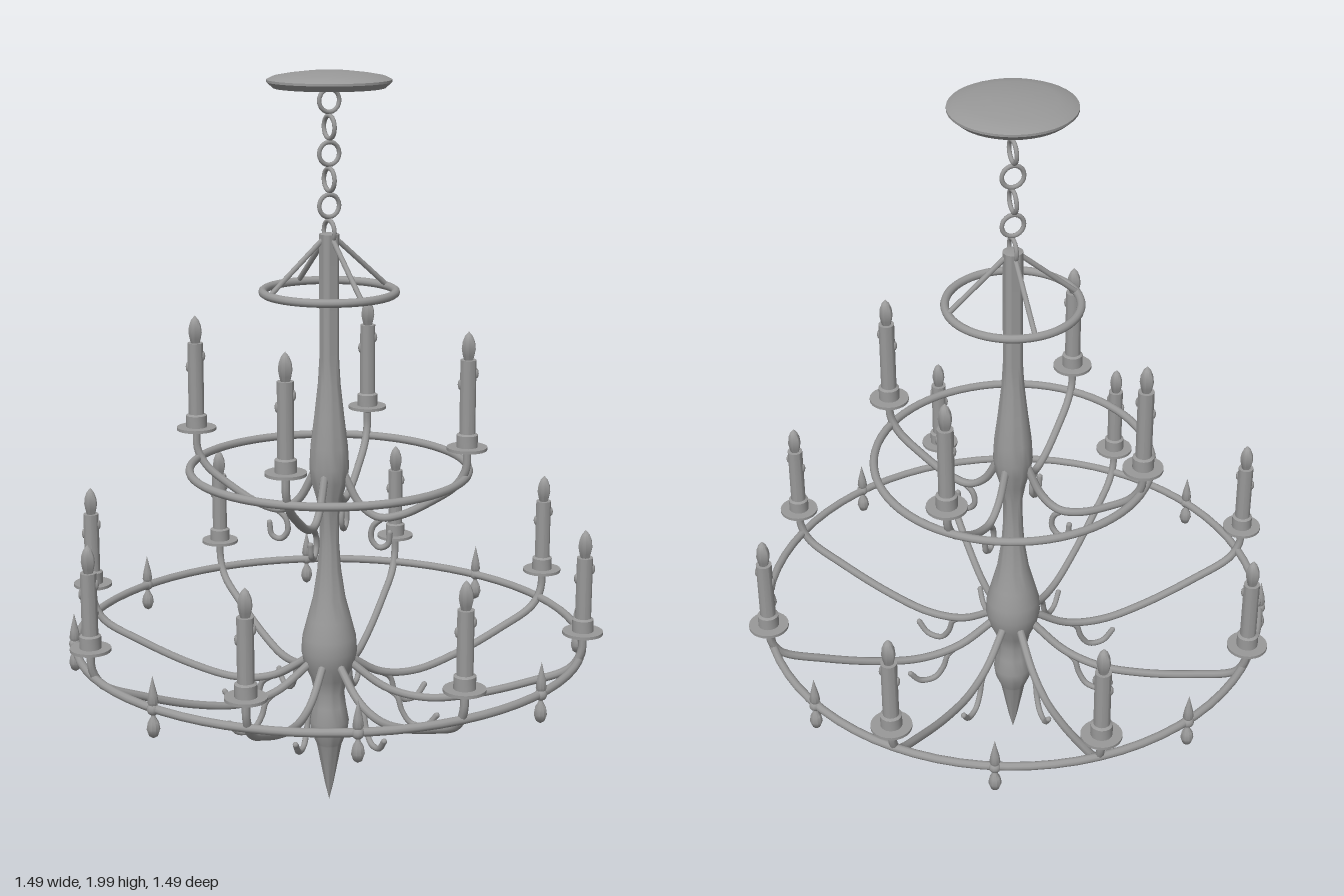
import * as THREE from 'three';
import { toCreasedNormals } from 'three/addons/utils/BufferGeometryUtils.js';

const metal = new THREE.MeshStandardMaterial({ color: 0x999999 });
metal.name = 'pewter grey';

function mesh(name, geometry, parent) {
  const m = new THREE.Mesh(geometry, metal);
  m.name = name;
  parent.add(m);
  return m;
}

// Turned shape from [radius, y] points, listed from the bottom up
function turned(points, sides = 24, crease = 0.6) {
  const p = points.map(([r, y]) => new THREE.Vector2(r, y));
  return toCreasedNormals(new THREE.LatheGeometry(p, sides), crease);
}

// Bent rod lying in the x-y plane
function rod(points, radius, steps = 40) {
  const curve = new THREE.CatmullRomCurve3(points.map(([x, y]) => new THREE.Vector3(x, y, 0)));
  return new THREE.TubeGeometry(curve, steps, radius, 8, false);
}

function hoop(name, radius, y, tube, parent) {
  const h = mesh(name, new THREE.TorusGeometry(radius, tube, 10, 72), parent);
  h.rotation.x = Math.PI / 2;
  h.position.y = y;
}

// Drip dish, collar, candle sleeve and flame bulb; origin at the dish
function makeCandle(height) {
  const g = new THREE.Group();
  g.name = 'candle';
  mesh('dripDish', turned([[0, -0.012], [0.022, -0.012], [0.053, -0.004], [0.053, 0.004], [0, 0.004]]), g);
  mesh('collar', turned([[0.028, 0.003], [0.028, 0.036], [0.021, 0.04]], 16), g);
  mesh('sleeve', turned([[0.021, 0.03], [0.021, height], [0, height]], 16), g);
  mesh('bulb', turned([
    [0.012, height], [0.015, height + 0.012], [0.018, height + 0.028],
    [0.016, height + 0.046], [0.01, height + 0.062], [0, height + 0.074],
  ], 12, 1.2), g);
  // wax drips
  [[0.6, 0.85], [3.6, 0.72]].forEach(([a, f]) => {
    const d = mesh('waxDrip', new THREE.SphereGeometry(0.007, 8, 6), g);
    d.scale.y = 2;
    d.position.set(Math.cos(a) * 0.02, height * f, Math.sin(a) * 0.02);
  });
  return g;
}

// Ring of arms, each with a scroll hook and a candle
function addTier(parent, t) {
  for (let i = 0; i < t.count; i++) {
    const arm = new THREE.Group();
    arm.name = t.name;
    arm.rotation.y = t.start + (i / t.count) * Math.PI * 2;
    mesh('curvedArm', rod(t.arm, 0.011), arm);
    mesh('scrollHook', rod(t.hook, 0.008, 24), arm);
    const tip = mesh('hookTip', new THREE.SphereGeometry(0.008, 8, 6), arm);
    const [hx, hy] = t.hook[t.hook.length - 1];
    tip.position.set(hx, hy, 0);
    const candle = makeCandle(t.candle);
    candle.position.set(t.arm[0][0], t.dishY, 0);
    candle.rotation.y = -arm.rotation.y;
    arm.add(candle);
    parent.add(arm);
  }
}

export function createModel() {
  const root = new THREE.Group();
  root.name = 'chandelier';

  // Ceiling canopy
  mesh('canopy', turned([
    [0, 1.957], [0.143, 1.957], [0.16, 1.972], [0.16, 1.978],
    [0.143, 1.986], [0.11, 1.992], [0.06, 1.998], [0, 2],
  ], 40), root);

  // Chain of alternating links
  for (let i = 0; i < 6; i++) {
    const link = mesh('chainLink', new THREE.TorusGeometry(0.029, 0.006, 8, 20), root);
    link.position.y = 1.925 - i * 0.0668;
    link.rotation.y = (i % 2) * Math.PI / 2;
  }

  // Central column
  mesh('column', turned([
    [0, 0.01], [0.012, 0.06], [0.034, 0.175], [0.036, 0.18], [0.05, 0.215], [0.054, 0.245],
    [0.046, 0.29], [0.041, 0.33], [0.05, 0.37], [0.068, 0.41], [0.076, 0.45],
    [0.073, 0.49], [0.06, 0.54], [0.044, 0.6], [0.032, 0.68], [0.027, 0.75],
    [0.026, 0.83], [0.035, 0.88], [0.048, 0.925], [0.053, 0.965], [0.05, 1.02],
    [0.04, 1.1], [0.03, 1.19], [0.026, 1.26], [0.026, 1.585], [0, 1.59],
  ], 32, 0.9), root);

  // Top hoop with four sloping stays
  hoop('topHoop', 0.173, 1.435, 0.011, root);
  for (let i = 0; i < 4; i++) {
    const stay = mesh('hoopStay', rod([[0.173, 1.437], [0.09, 1.51], [0.01, 1.58]], 0.007, 6), root);
    stay.rotation.y = i * Math.PI / 2;
  }

  hoop('upperHoop', 0.37, 0.96, 0.011, root);
  hoop('lowerHoop', 0.682, 0.49, 0.011, root);

  addTier(root, {
    name: 'upperArm', count: 4, start: Math.PI / 4, dishY: 1.043, candle: 0.234,
    arm: [[0.373, 1.04], [0.371, 0.985], [0.345, 0.94], [0.28, 0.892], [0.2, 0.848],
      [0.135, 0.836], [0.085, 0.868], [0.04, 0.95]],
    hook: [[0.15, 0.836], [0.122, 0.81], [0.117, 0.775], [0.138, 0.752], [0.162, 0.762], [0.168, 0.795]],
  });

  addTier(root, {
    name: 'lowerArm', count: 8, start: 0, dishY: 0.571, candle: 0.204,
    arm: [[0.69, 0.57], [0.688, 0.515], [0.66, 0.468], [0.55, 0.417], [0.4, 0.365],
      [0.27, 0.341], [0.16, 0.358], [0.06, 0.42]],
    hook: [[0.16, 0.357], [0.192, 0.335], [0.206, 0.295], [0.232, 0.262], [0.275, 0.262], [0.303, 0.293]],
  });

  // Spike and pendant ornaments between the lower arms
  const spike = turned([[0.004, 0.485], [0.014, 0.508], [0.011, 0.53], [0.005, 0.555], [0, 0.577]], 10, 1.2);
  const pendant = turned([
    [0, 0.413], [0.011, 0.42], [0.017, 0.437], [0.014, 0.455], [0.006, 0.47], [0.005, 0.485],
  ], 10, 1.2);
  for (let i = 0; i < 8; i++) {
    const ornament = new THREE.Group();
    ornament.name = 'hoopOrnament';
    const a = (i + 0.5) * Math.PI / 4;
    ornament.position.set(Math.cos(a) * 0.685, 0, Math.sin(a) * 0.685);
    mesh('spike', spike, ornament);
    mesh('pendant', pendant, ornament);
    const bead = mesh('bead', new THREE.SphereGeometry(0.016, 12, 8), ornament);
    bead.position.y = 0.49;
    root.add(ornament);
  }

  return root;
}
